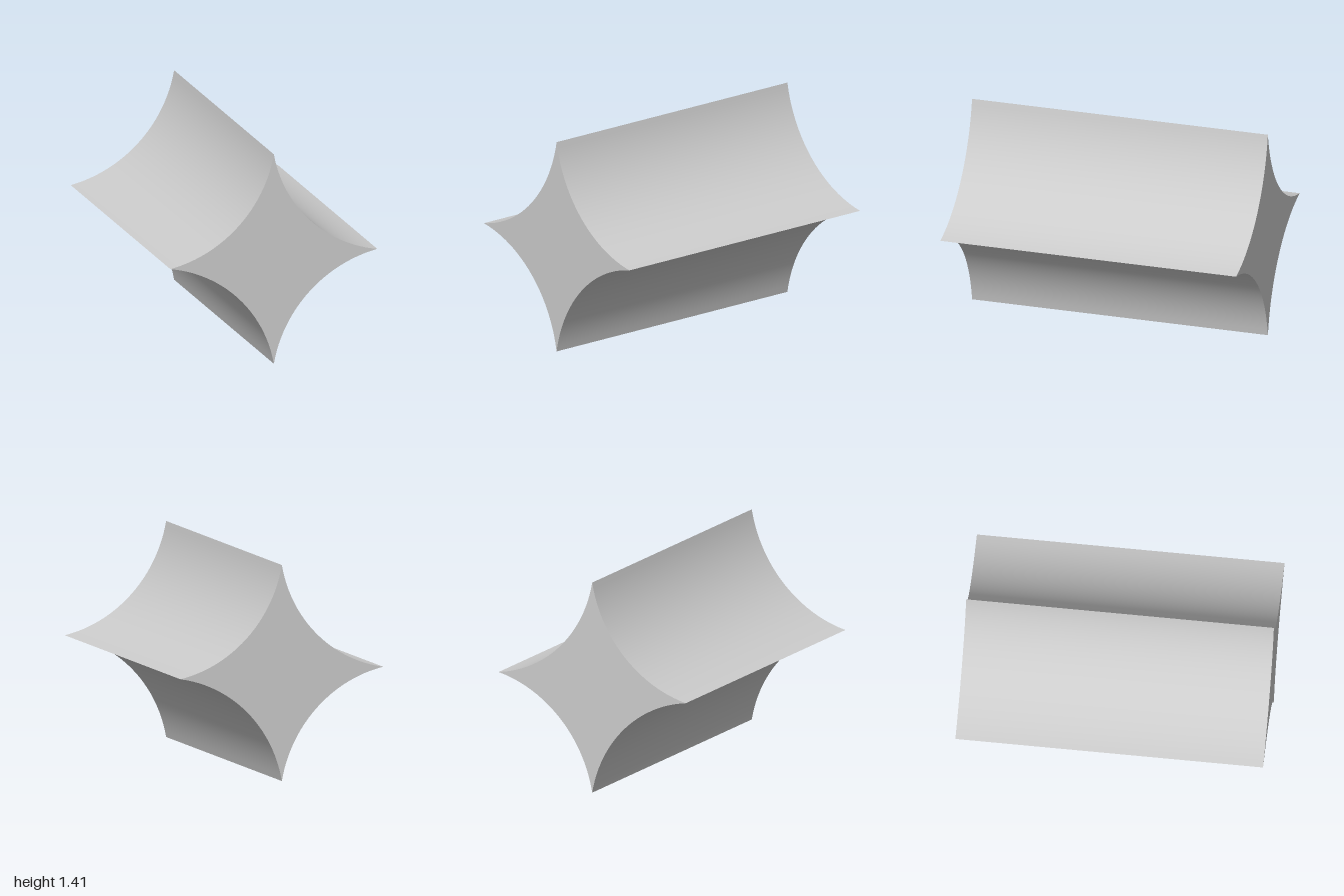
import * as THREE from 'three';
import { toCreasedNormals } from 'three/addons/utils/BufferGeometryUtils.js';

const TIP = 0.7071;   // centre to each point of the star
const ARC = 0.862;    // x and y offset of each hollow's circle centre
const LENGTH = 2;
const CENTRE_Y = 0.711;

// Four-pointed star whose sides are concave circular arcs
function starShape() {
  const radius = Math.hypot(ARC, ARC - TIP);
  const lean = Math.atan2(ARC - TIP, ARC);
  const shape = new THREE.Shape();
  shape.moveTo(TIP, 0);
  for (let i = 0; i < 4; i++) {
    const turn = i * Math.PI / 2;
    const cx = ARC * (Math.cos(turn) - Math.sin(turn));
    const cy = ARC * (Math.sin(turn) + Math.cos(turn));
    shape.absarc(cx, cy, radius, turn + 1.5 * Math.PI - lean, turn + Math.PI + lean, true);
  }
  return shape;
}

export function createModel() {
  const group = new THREE.Group();
  group.name = 'starPrism';

  // Prism running along z, with smooth hollows and sharp ridges
  const geometry = new THREE.ExtrudeGeometry(starShape(), {
    depth: LENGTH, bevelEnabled: false, curveSegments: 12,
  });
  geometry.translate(0, CENTRE_Y, -LENGTH / 2);

  const body = new THREE.Mesh(
    toCreasedNormals(geometry, Math.PI / 6),
    new THREE.MeshStandardMaterial({ color: 0xcccccc }),
  );
  body.name = 'prismBody';
  group.add(body);
  return group;
}
